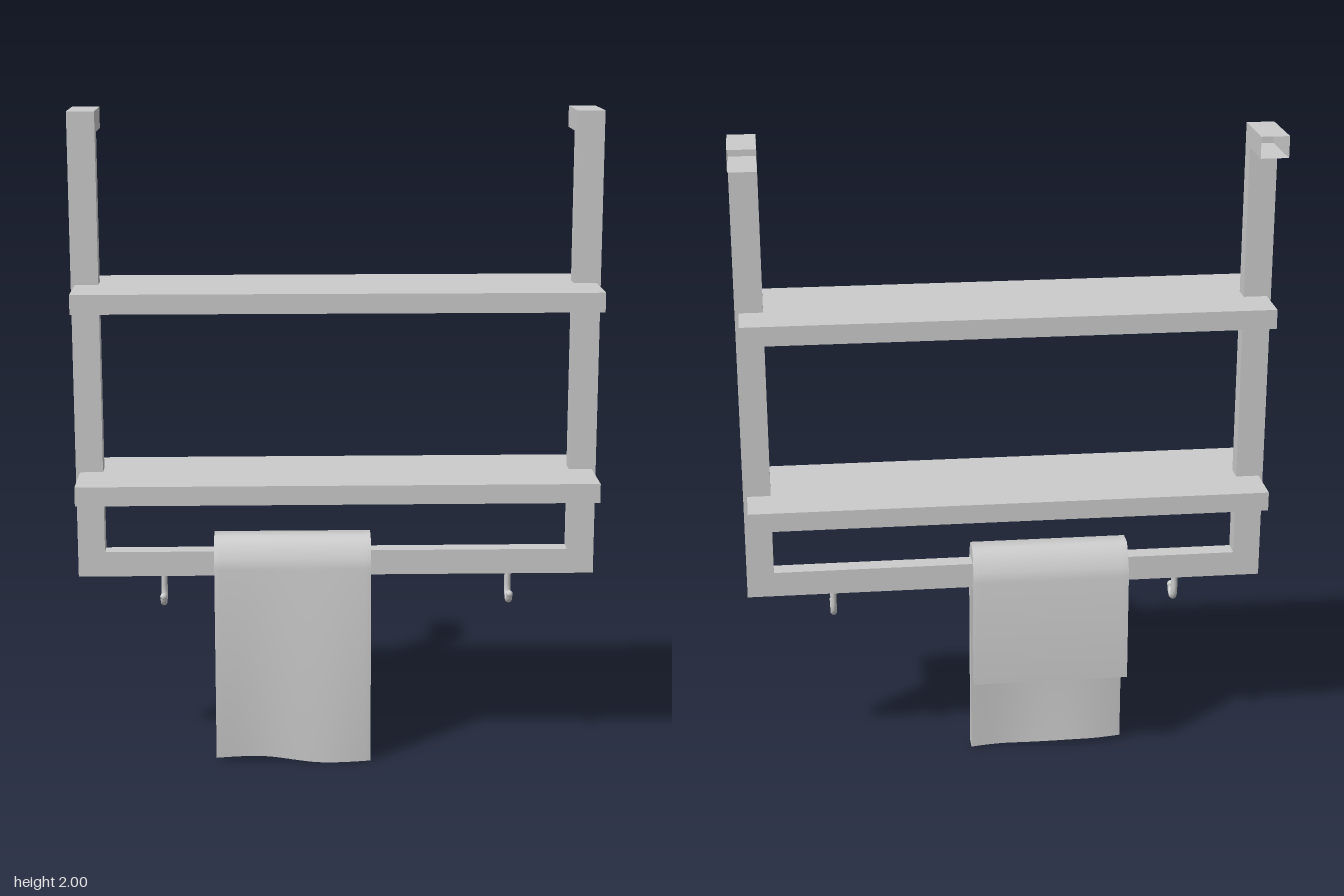
import * as THREE from 'three';
import { toCreasedNormals } from 'three/addons/utils/BufferGeometryUtils.js';

export function createModel() {
  const root = new THREE.Group();
  const grey = new THREE.MeshStandardMaterial({ color: 0xcccccc });
  const greyDouble = new THREE.MeshStandardMaterial({ color: 0xcccccc, side: THREE.DoubleSide });

  const add = (name, geometry, material = grey) => {
    const mesh = new THREE.Mesh(geometry, material);
    mesh.name = name;
    root.add(mesh);
    return mesh;
  };
  const shapeOf = (pts) => new THREE.Shape(pts.map(([x, y]) => new THREE.Vector2(x, y)));

  // U-shaped frame: two posts joined by the towel bar
  const outer = 0.79, inner = 0.708, armY = 1.937, back = -0.053, front = 0.003;
  const frame = new THREE.ExtrudeGeometry(shapeOf([
    [-outer, 0.588], [outer, 0.588], [outer, armY], [inner, armY],
    [inner, 0.665], [-inner, 0.665], [-inner, armY], [-outer, armY],
  ]), { depth: front - back, bevelEnabled: false });
  frame.translate(0, 0, back);
  add('frame', frame);

  // Shelves pass through the posts
  for (const [name, y] of [['lowerShelf', 0.888], ['upperShelf', 1.46]]) {
    add(name, new THREE.BoxGeometry(1.555, 0.058, 0.386)).position.y = y;
  }

  for (const side of [-1, 1]) {
    const label = side > 0 ? 'left' : 'right';

    // Over-door arm: a hollow box, open at its rear end
    const length = front + 0.193;
    const arm = new THREE.BoxGeometry(outer - inner, 2 - armY, length);
    arm.setIndex(Array.from(arm.index.array).slice(0, 30));
    add(label + 'DoorArm', arm, greyDouble)
      .position.set(side * (outer + inner) / 2, (2 + armY) / 2, front - length / 2);

    // J-shaped hook under the bar, opening to the front
    const r = 0.03, cy = 0.535, cz = 0;
    const path = [new THREE.Vector3(0, 0.6, cz - r), new THREE.Vector3(0, 0.57, cz - r)];
    for (let i = 0; i <= 6; i++) {
      const a = Math.PI + (i / 6) * Math.PI * 0.95;
      path.push(new THREE.Vector3(0, cy + r * Math.sin(a), cz + r * Math.cos(a)));
    }
    const hook = new THREE.Group();
    hook.name = label + 'Hook';
    hook.position.x = side * 0.53;
    const rod = new THREE.Mesh(
      new THREE.TubeGeometry(new THREE.CatmullRomCurve3(path), 28, 0.01, 10), grey);
    rod.name = 'hookRod';
    const tip = new THREE.Mesh(new THREE.SphereGeometry(0.011, 12, 8), grey);
    tip.name = 'hookTip';
    tip.position.copy(path[path.length - 1]);
    hook.add(rod, tip);
    root.add(hook);
  }

  // Towel: folded outline as [z, y], swept along x
  const outline = [
    [0.053, 0], [0.053, 0.62], [0.047, 0.65], [0.018, 0.705], [0.003, 0.715],
    [-0.05, 0.715], [-0.063, 0.705], [-0.094, 0.65], [-0.101, 0.62], [-0.107, 0.28],
    [-0.07, 0.28], [-0.062, 0.6], [-0.055, 0.67], [0.004, 0.67], [0.012, 0.6], [0.01, 0],
  ];
  const width = 0.478, left = -0.374;
  const towel = new THREE.ExtrudeGeometry(shapeOf(outline.map(([z, y]) => [-z, y])),
    { depth: width, steps: 24, bevelEnabled: false });
  towel.rotateY(Math.PI / 2);
  // Soft wave growing toward the front hem, with one corner hanging higher
  const p = towel.attributes.position;
  for (let i = 0; i < p.count; i++) {
    const y = p.getY(i), z = p.getZ(i), u = p.getX(i) / width;
    if (z > 0) {
      const drop = Math.max(0, 1 - y / 0.6);
      p.setZ(i, z - 0.013 * Math.sin(2 * Math.PI * u) * drop);
      p.setY(i, y + 0.014 * (1 - THREE.MathUtils.smoothstep(u, 0.25, 0.7)) * drop);
    }
  }
  towel.translate(left, 0, 0);
  add('towel', toCreasedNormals(towel, 0.7));

  return root;
}
